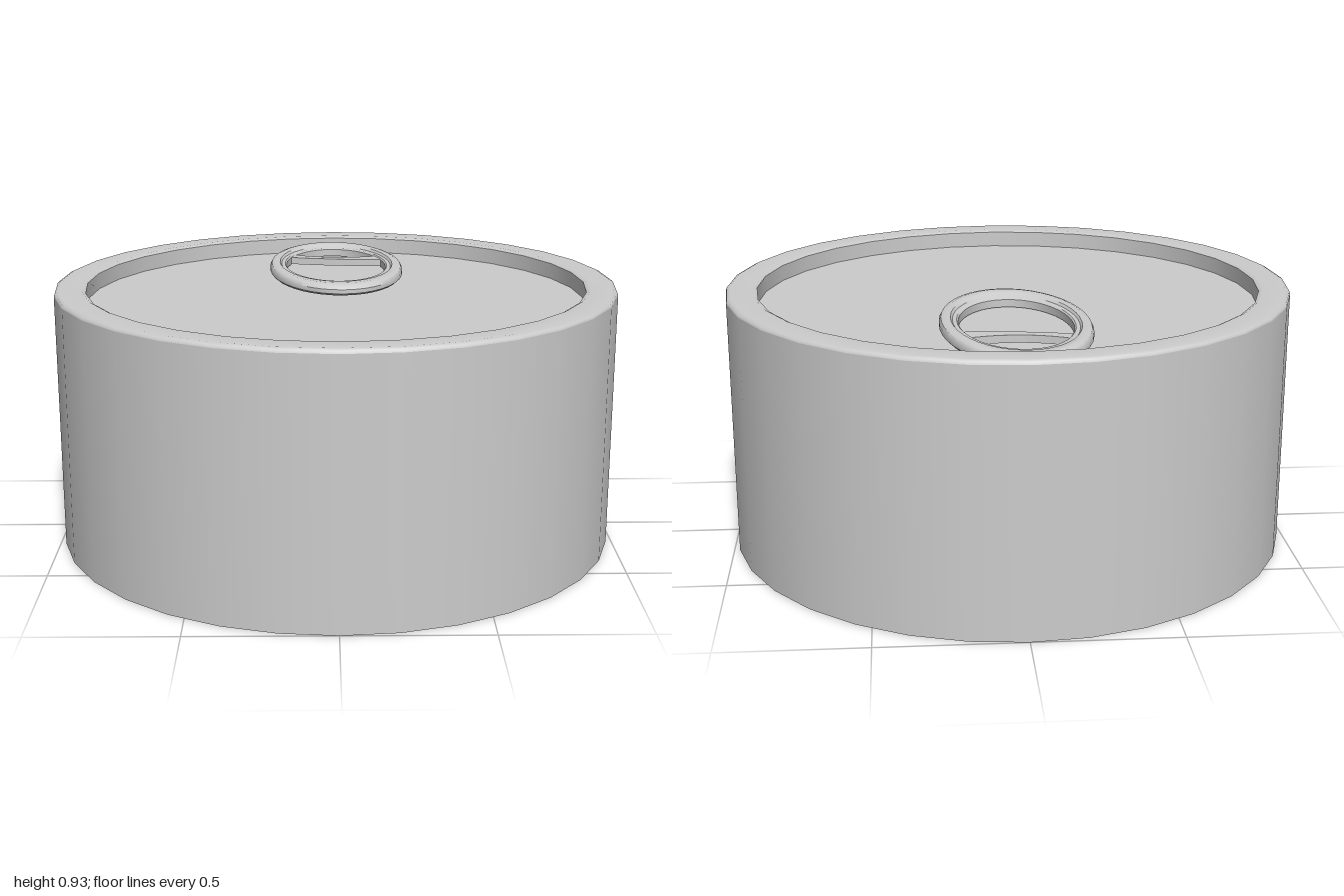
import * as THREE from 'three';
import { toCreasedNormals } from 'three/addons/utils/BufferGeometryUtils.js';

const metal = new THREE.MeshStandardMaterial({ color: 0xcccccc });
metal.name = 'grey metal';

function part(name, geometry) {
  const mesh = new THREE.Mesh(geometry, metal);
  mesh.name = name;
  return mesh;
}

// Turned part from [radius, height] pairs
function turned(points, segments = 32) {
  return new THREE.LatheGeometry(points.map(([r, y]) => new THREE.Vector2(r, y)), segments);
}

// Oval ring: a turned ring of radius 1..2 remapped between the hole oval and the outer oval
function ovalRing(profile) {
  const geometry = turned(profile, 40);
  const pos = geometry.attributes.position;
  const mix = THREE.MathUtils.lerp;
  for (let i = 0; i < pos.count; i++) {
    const x = pos.getX(i), z = pos.getZ(i);
    const r = Math.hypot(x, z), t = r - 1;
    pos.setX(i, (x / r) * mix(0.19, 0.253, t));
    pos.setZ(i, (z / r) * mix(0.318, 0.445, t) + mix(-0.008, 0, t));
  }
  return toCreasedNormals(geometry, 0.7);
}

function createPullTab() {
  const tab = new THREE.Group();
  tab.name = 'pullTab';

  // Rounded loop with a small step on the inside
  tab.add(part('tabRing', ovalRing([
    [1, 0.87], [1.85, 0.87], [2, 0.88], [2, 0.895], [1.9, 0.907], [1.7, 0.912],
    [1.4, 0.91], [1.3, 0.902], [1.08, 0.902], [1, 0.897], [1, 0.87],
  ])));

  // Curved bar dividing the opening in two
  const bar = new THREE.Shape();
  bar.moveTo(-0.2, 0.25);
  bar.quadraticCurveTo(-0.02, 0.105, 0.195, 0.178);
  bar.lineTo(0.205, 0.095);
  bar.quadraticCurveTo(0, 0.1, -0.205, 0.175);
  bar.closePath();
  const barGeometry = new THREE.ExtrudeGeometry(bar, { depth: 0.026, bevelEnabled: false, curveSegments: 10 });
  barGeometry.rotateX(-Math.PI / 2);
  barGeometry.translate(0, 0.872, 0);
  tab.add(part('tabBar', barGeometry));

  tab.position.set(0.005, 0, -0.445);
  tab.rotation.y = 0.056;
  return tab;
}

export function createModel() {
  const can = new THREE.Group();
  can.name = 'can';
  can.add(
    part('base', turned([[0, 0], [1, 0]])),
    part('sideWall', turned([[1, 0], [1, 0.915]])),
    part('rim', turned([[1, 0.915], [0.997, 0.924], [0.985, 0.93], [0.905, 0.93], [0.89, 0.922]])),
    part('innerWall', turned([[0.89, 0.922], [0.89, 0.865]])),
    part('lid', turned([[0.89, 0.865], [0, 0.865]])),
    createPullTab(),
  );
  return can;
}
